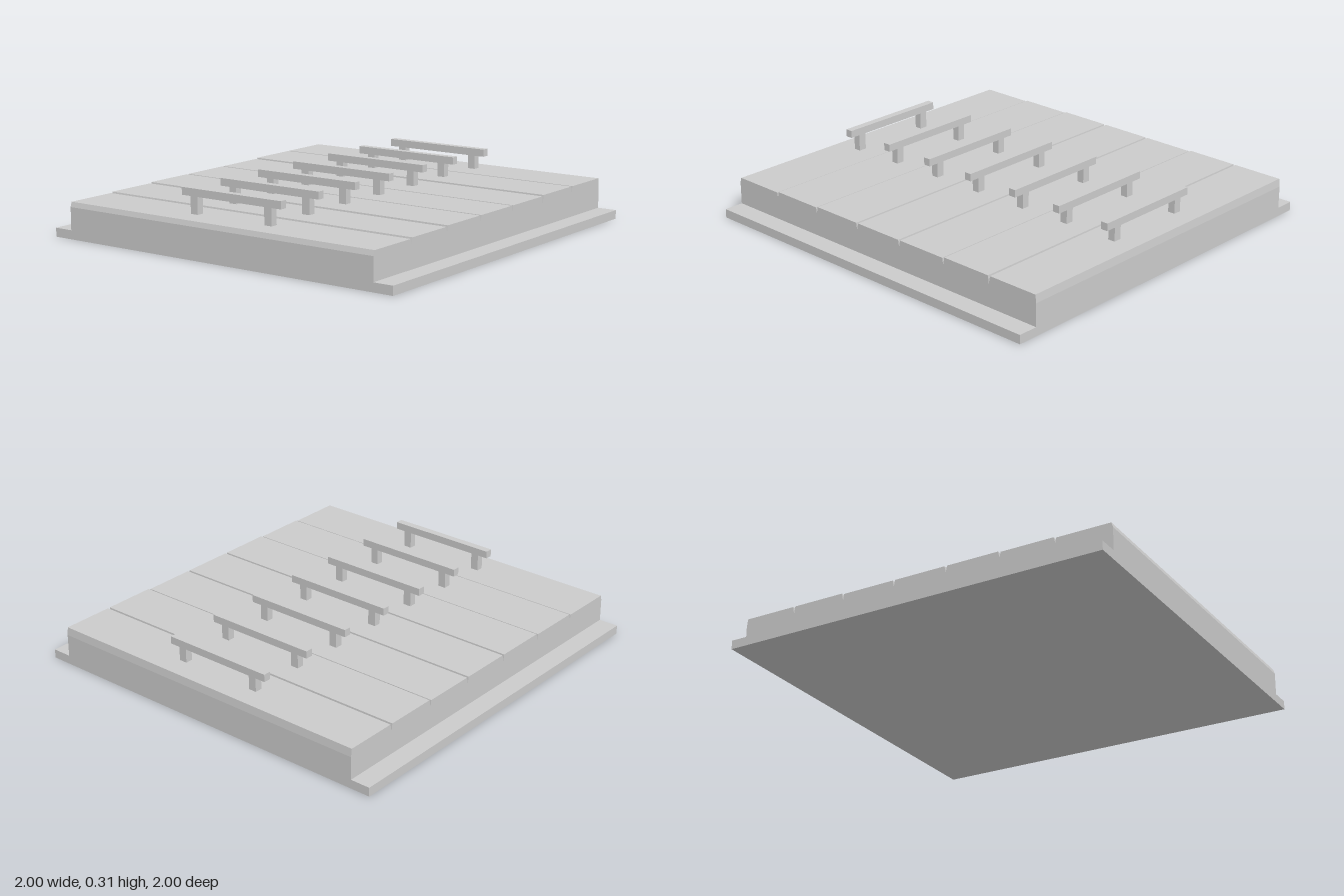
import * as THREE from 'three';

const material = new THREE.MeshStandardMaterial({ color: 0xcccccc, flatShading: true });

function box(name, w, h, d, x, y, z) {
  const mesh = new THREE.Mesh(new THREE.BoxGeometry(w, h, d), material);
  mesh.name = name;
  mesh.position.set(x, y, z);
  return mesh;
}

export function createModel() {
  const model = new THREE.Group();
  model.name = 'panelledSlab';

  // Flat base plate with flanges left and right
  const baseHeight = 0.045;
  model.add(box('basePlate', 2, baseHeight, 2, 0, baseHeight / 2, 0));

  // Side profile of the body: seven panels split by narrow V grooves,
  // each panel a little higher than the one in front of it
  const grooves = [1, 0.712, 0.425, 0.14, -0.145, -0.432, -0.717, -1];
  const tops = [0.185, 0.19, 0.195, 0.195, 0.195, 0.2, 0.2];
  const grooveFloor = 0.16;
  const profile = new THREE.Shape();
  profile.moveTo(-1, baseHeight);
  profile.lineTo(-1, grooveFloor);
  tops.forEach((top, i) => {
    profile.lineTo(-grooves[i] + 0.008, top);
    profile.lineTo(-grooves[i + 1] - 0.005, top);
    profile.lineTo(-grooves[i + 1], grooveFloor);
  });
  profile.lineTo(1, baseHeight);
  profile.closePath();

  const bodyGeometry = new THREE.ExtrudeGeometry(profile, { depth: 1.795, bevelEnabled: false });
  bodyGeometry.translate(0, 0, -0.8975);
  bodyGeometry.rotateY(Math.PI / 2);
  const body = new THREE.Mesh(bodyGeometry, material);
  body.name = 'groovedBody';
  model.add(body);

  // One bar handle on two posts per panel
  const handleZ = [0.853, 0.57, 0.282, 0, -0.295, -0.575, -0.868];
  handleZ.forEach((z, i) => {
    const handle = new THREE.Group();
    handle.name = `handle${i + 1}`;
    handle.position.z = z;
    handle.add(box('handleBar', 0.59, 0.038, 0.038, 0, 0.289, 0));
    const postHeight = 0.27 - tops[i];
    for (const side of [-1, 1]) {
      handle.add(box('handlePost', 0.042, postHeight, 0.038, side * 0.22, tops[i] + postHeight / 2, 0));
    }
    model.add(handle);
  });

  return model;
}
